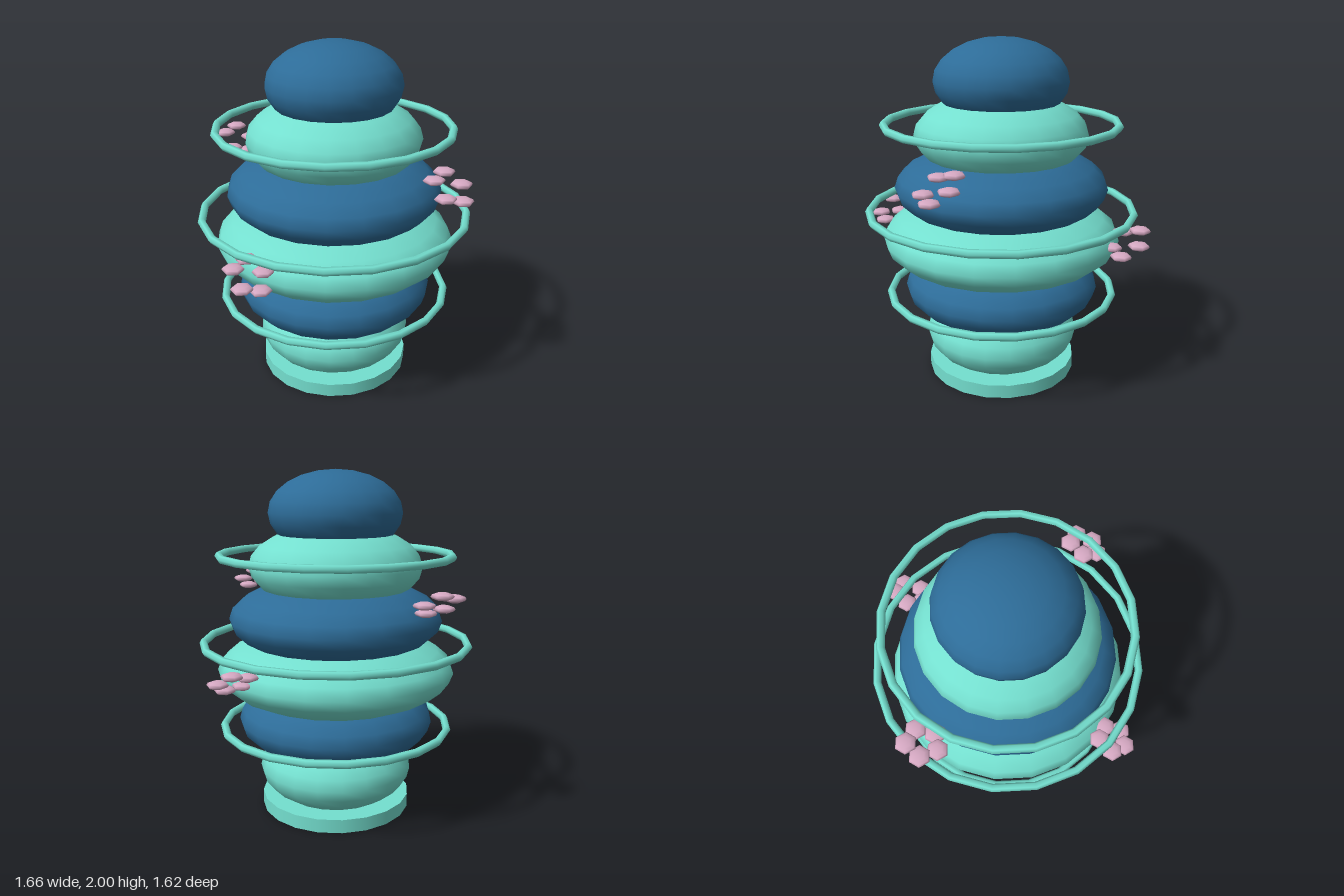
import * as THREE from 'three';

const mat = (name, color) => {
  const m = new THREE.MeshStandardMaterial({ color });
  m.name = name;
  return m;
};

export function createModel() {
  const teal = mat('teal', 0x74dfcf);
  const blue = mat('blue', 0x2d6c98);
  const pink = mat('pink', 0xd6a9c3);

  const model = new THREE.Group();
  model.name = 'stackedTower';
  const body = new THREE.Group();
  body.name = 'body';
  body.position.x = -0.01;
  model.add(body);

  const add = (parent, name, geometry, material, x, y, z) => {
    const mesh = new THREE.Mesh(geometry, material);
    mesh.name = name;
    mesh.position.set(x, y, z);
    parent.add(mesh);
    return mesh;
  };

  // Low round foot
  add(body, 'base', new THREE.CylinderGeometry(0.445, 0.445, 0.08, 20), teal, 0, 0.04, 0);

  // Six squashed balls, alternating colours from the bottom up
  [0.455, 0.575, 0.695, 0.62, 0.502, 0.385].forEach((radius, i) => {
    const ball = new THREE.SphereGeometry(1, 20, 12).scale(radius, 0.24, radius);
    add(body, 'tier' + (i + 1), ball, i % 2 ? blue : teal, 0, 0.25 + i * 0.302, 0);
  });

  // Three thin hoops with hexagonal cross-section
  [[0.668, 0.51], [0.773, 1.015], [0.668, 1.52]].forEach(([radius, y], i) => {
    const hoop = new THREE.TorusGeometry(radius, 0.023, 6, 20).rotateX(Math.PI / 2);
    add(body, 'hoop' + (i + 1), hoop, teal, 0, y, 0);
  });

  // Blossoms: five flat petals on a ring that slopes up toward the back
  const petal = new THREE.SphereGeometry(1, 6, 6).rotateY(Math.PI / 6).scale(0.06, 0.022, 0.06);
  [[0.285, 1.318, 0.672], [-0.285, 1.318, -0.672],
    [0.705, 0.912, -0.297], [-0.705, 0.912, 0.297]].forEach(([x, y, z], i) => {
    const blossom = new THREE.Group();
    blossom.name = 'blossom' + (i + 1);
    blossom.position.set(x, y, z);
    for (let k = 0; k < 5; k++) {
      const a = (k / 5) * Math.PI * 2;
      add(blossom, 'petal' + (k + 1), petal, pink,
        0.081 * Math.cos(a), -0.06 * Math.sin(a), 0.083 * Math.sin(a));
    }
    body.add(blossom);
  });

  return model;
}
